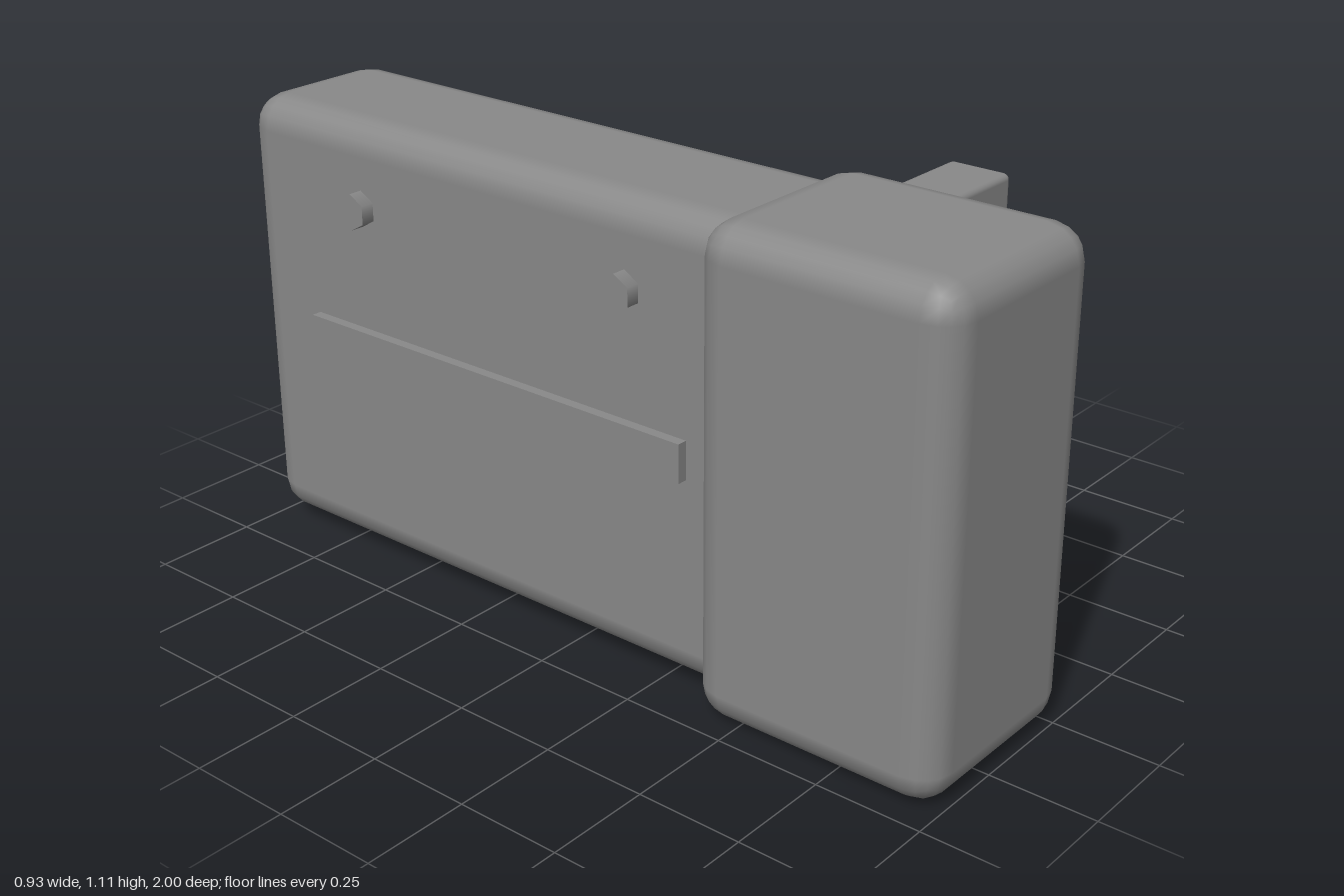
import * as THREE from 'three';
import { RoundedBoxGeometry } from 'three/addons/geometries/RoundedBoxGeometry.js';

const material = new THREE.MeshStandardMaterial({ color: 0x888888 });

export function createModel() {
  const group = new THREE.Group();

  function add(name, geometry, x, y, z) {
    const mesh = new THREE.Mesh(geometry, material);
    mesh.name = name;
    mesh.position.set(x, y, z);
    group.add(mesh);
    return mesh;
  }

  // Box given by its [min, max] range on each axis; radius 0 keeps sharp edges
  function addBox(name, [x0, x1], [y0, y1], [z0, z1], radius = 0) {
    const size = [x1 - x0, y1 - y0, z1 - z0];
    const geometry = radius
      ? new RoundedBoxGeometry(...size, 2, radius)
      : new THREE.BoxGeometry(...size);
    add(name, geometry, (x0 + x1) / 2, (y0 + y1) / 2, (z0 + z1) / 2);
  }

  // Main housing and the wider block in front of it
  addBox('body', [-0.4, 0], [0.026, 1.09], [-1, 0.5], 0.077);
  addBox('frontHousing', [-0.466, 0.042], [0, 1.11], [0.39, 1], 0.077);

  // Side panel and the flap standing out from its front end
  addBox('sidePanel', [-0.02, 0.086], [0.114, 1], [-0.89, 0.4], 0.015);
  addBox('openFlap', [0, 0.464], [0.114, 1], [0.388, 0.545], 0.015);

  // Strap on the other side, with two hexagonal studs above it
  addBox('sideStrap', [-0.424, -0.39], [0.51, 0.6], [-0.78, 0.33]);
  for (const z of [-0.614, 0.167]) {
    const geometry = new THREE.CylinderGeometry(0.043, 0.043, 0.05, 6, 1, false, Math.PI / 6);
    const stud = add('stud', geometry, -0.408, 0.892, z);
    stud.rotation.z = Math.PI / 2;
  }

  return group;
}
